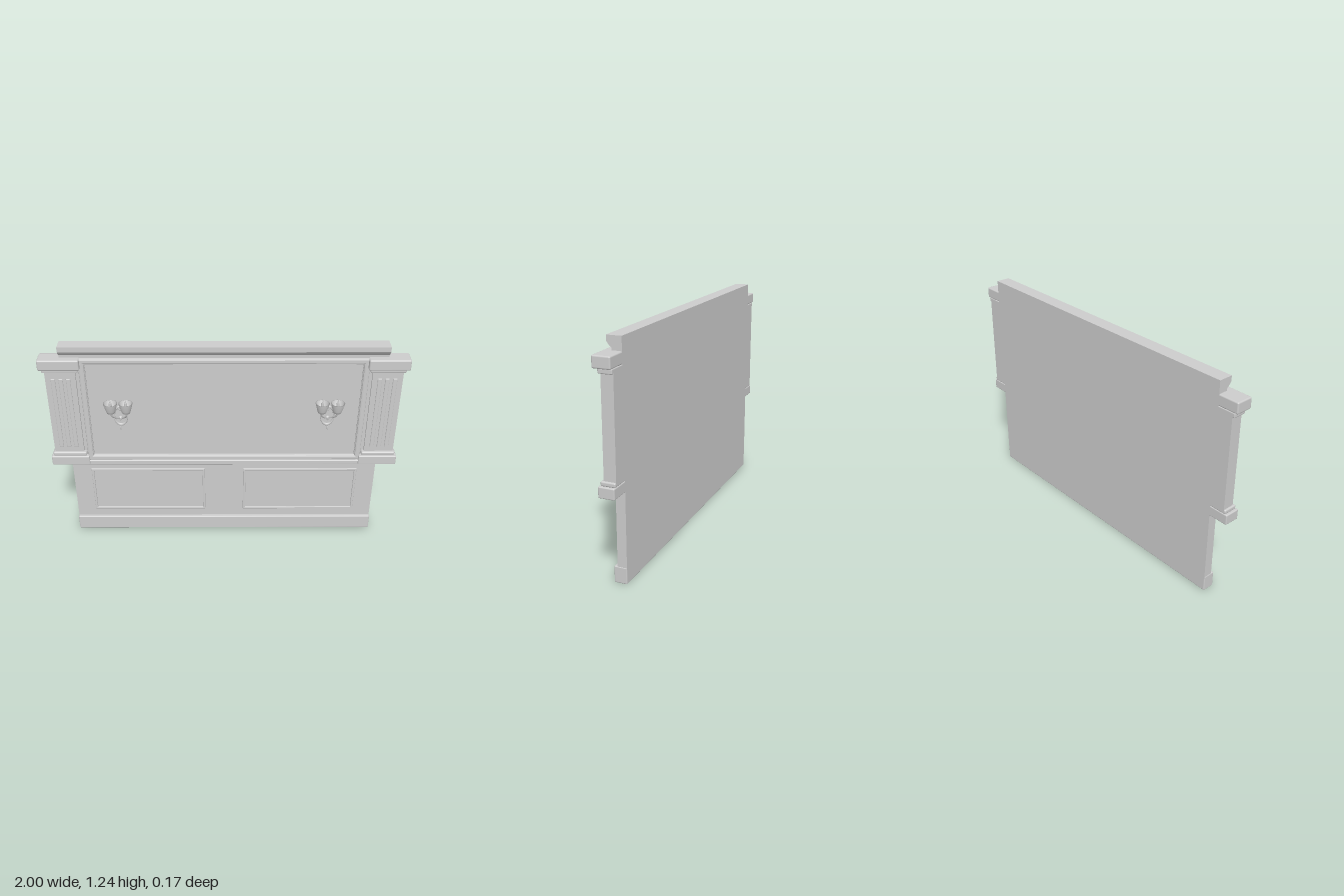
import * as THREE from 'three';
import { RoundedBoxGeometry } from 'three/addons/geometries/RoundedBoxGeometry.js';

const stone = new THREE.MeshStandardMaterial({ color: 0xcccccc });
stone.name = 'paleGrey';
stone.side = THREE.DoubleSide;

const BACK = -0.085;

function add(parent, name, geometry) {
  const mesh = new THREE.Mesh(geometry, stone);
  mesh.name = name;
  parent.add(mesh);
  return mesh;
}

// Block given by its extents, with softly rounded edges when r > 0
function block(parent, name, x0, x1, y0, y1, z0, z1, r = 0) {
  const size = [x1 - x0, y1 - y0, z1 - z0];
  const geo = r > 0 ? new RoundedBoxGeometry(...size, 2, r) : new THREE.BoxGeometry(...size);
  const mesh = add(parent, name, geo);
  mesh.position.set((x0 + x1) / 2, (y0 + y1) / 2, (z0 + z1) / 2);
  return mesh;
}

// Bevelled rectangular moulding
function frame(parent, name, x0, x1, y0, y1, w, z0, z1) {
  const rect = (T, i) => {
    const s = new T();
    s.moveTo(x0 + i, y0 + i).lineTo(x1 - i, y0 + i).lineTo(x1 - i, y1 - i).lineTo(x0 + i, y1 - i).closePath();
    return s;
  };
  const shape = rect(THREE.Shape, 0);
  shape.holes.push(rect(THREE.Path, w));
  const b = w * 0.3, t = Math.min(b, (z1 - z0) * 0.4);
  const geo = new THREE.ExtrudeGeometry(shape, {
    depth: z1 - z0 - 2 * t, bevelEnabled: true, bevelSize: b, bevelOffset: -b, bevelThickness: t, bevelSegments: 2,
  });
  geo.translate(0, 0, z0 + t);
  return add(parent, name, geo);
}

// Pilaster built on the +x side, turned over for the other side by swapping extents
function pilaster(side) {
  const g = new THREE.Group();
  g.name = side > 0 ? 'leftPilaster' : 'rightPilaster';
  const b = (name, x0, x1, ...rest) =>
    block(g, name, side > 0 ? x0 : -x1, side > 0 ? x1 : -x0, ...rest);
  b('pilasterCap', 0.775, 1.0, 1.108, 1.17, BACK, 0.011, 0.008);
  b('pilasterNeck', 0.79, 0.985, 1.083, 1.11, BACK, -0.01, 0.006);
  b('pilasterShaft', 0.805, 0.972, 0.56, 1.09, BACK, -0.02);
  b('pilasterBaseMoulding', 0.79, 0.982, 0.545, 0.57, BACK, -0.006, 0.008);
  b('pilasterBase', 0.775, 0.993, 0.488, 0.546, BACK, 0.002, 0.006);
  // Raised reeds on the shaft
  for (const x of [0.847, 0.888, 0.93]) b('reed', x - 0.012, x + 0.012, 0.6, 1.045, -0.03, -0.0155, 0.004);
  return g;
}

// Two-armed wall lamp
function sconce(x) {
  const g = new THREE.Group();
  g.name = 'sconce';
  // Oval wall ring and centre boss
  const ring = add(g, 'wallRing', new THREE.TorusGeometry(0.04, 0.006, 8, 28));
  ring.scale.set(0.9, 1.45, 1);
  ring.position.set(0, 0.81, -0.02);
  const boss = add(g, 'boss', new THREE.SphereGeometry(0.012, 12, 8));
  boss.position.set(0, 0.8, -0.015);
  const cup = [[0, 0.866], [0.012, 0.867], [0.022, 0.872], [0.027, 0.885], [0.039, 0.93], [0.035, 0.93], [0.024, 0.888], [0, 0.878]];
  for (const s of [-1, 1]) {
    const cx = s * 0.042, cz = 0.048;
    const arm = new THREE.CatmullRomCurve3([
      [0, 0.8, -0.022], [s * 0.012, 0.806, -0.005], [s * 0.03, 0.826, 0.022], [s * 0.04, 0.845, 0.04], [cx, 0.87, cz],
    ].map((p) => new THREE.Vector3(...p)));
    add(g, 'arm', new THREE.TubeGeometry(arm, 20, 0.0045, 8));
    const shade = add(g, 'cup', new THREE.LatheGeometry(cup.map((p) => new THREE.Vector2(...p)), 18));
    shade.position.set(cx, 0, cz);
    const candle = add(g, 'candle', new THREE.CylinderGeometry(0.008, 0.01, 0.052, 10));
    candle.position.set(cx, 0.906, cz);
    const flame = add(g, 'flame', new THREE.ConeGeometry(0.005, 0.026, 8));
    flame.position.set(cx, 0.943, cz);
    // Links between the cups and the ring
    const link = new THREE.QuadraticBezierCurve3(
      new THREE.Vector3(s * 0.035, 0.862, -0.018), new THREE.Vector3(s * 0.02, 0.885, -0.015), new THREE.Vector3(0, 0.845, -0.018));
    add(g, 'scroll', new THREE.TubeGeometry(link, 10, 0.004, 6));
  }
  // Hanging drops
  for (const [y, z] of [[0.75, 0.013], [0.803, 0.004]]) {
    const drop = add(g, 'drop', new THREE.SphereGeometry(0.004, 8, 8));
    drop.scale.y = 2.8;
    drop.position.set(0, y, z);
  }
  g.position.x = x;
  return g;
}

export function createModel() {
  const model = new THREE.Group();
  model.name = 'panelledWall';

  // Lower wall and skirting
  block(model, 'lowerWall', -0.885, 0.885, 0.08, 0.5, BACK, -0.034);
  block(model, 'skirting', -0.887, 0.887, 0, 0.09, BACK, -0.015, 0.006);
  for (const s of [-1, 1]) {
    const x0 = s > 0 ? 0.113 : -0.778, x1 = s > 0 ? 0.778 : -0.113;
    frame(model, 'lowerPanelFrame', x0, x1, 0.142, 0.44, 0.014, -0.036, -0.024);
  }

  // Upper wall with its large framed panel
  block(model, 'upperWall', -0.885, 0.885, 0.49, 1.2, BACK, -0.032);
  frame(model, 'upperPanelFrame', -0.785, 0.785, 0.51, 1.168, 0.032, -0.034, -0.012);
  frame(model, 'upperPanelInnerBead', -0.762, 0.762, 0.533, 1.14, 0.012, -0.034, -0.022);

  // Rail between upper and lower walls
  block(model, 'railLower', -0.79, 0.79, 0.484, 0.515, BACK + 0.01, -0.004, 0.006);
  block(model, 'railUpper', -0.79, 0.79, 0.51, 0.54, BACK + 0.01, -0.013, 0.006);

  // Coved crown along the top
  const profile = new THREE.Shape();
  profile.moveTo(BACK, 1.165).lineTo(-0.045, 1.165).lineTo(-0.045, 1.175);
  profile.quadraticCurveTo(-0.025, 1.182, -0.006, 1.212);
  profile.lineTo(-0.006, 1.24).lineTo(BACK, 1.24).closePath();
  const crown = new THREE.ExtrudeGeometry(profile, { depth: 1.77, bevelEnabled: false, curveSegments: 8 });
  crown.rotateY(-Math.PI / 2);
  // Profile runs along z, extrusion along x
  crown.scale(-1, 1, 1).translate(-0.885, 0, 0);
  const index = Array.from({ length: crown.attributes.position.count }, (_, i) => i);
  for (let i = 0; i < index.length; i += 3) [index[i + 1], index[i + 2]] = [index[i + 2], index[i + 1]];
  crown.setIndex(index);
  crown.computeVertexNormals();
  add(model, 'crown', crown);

  for (const s of [-1, 1]) {
    model.add(pilaster(s));
    model.add(sconce(s * 0.578));
  }
  return model;
}
